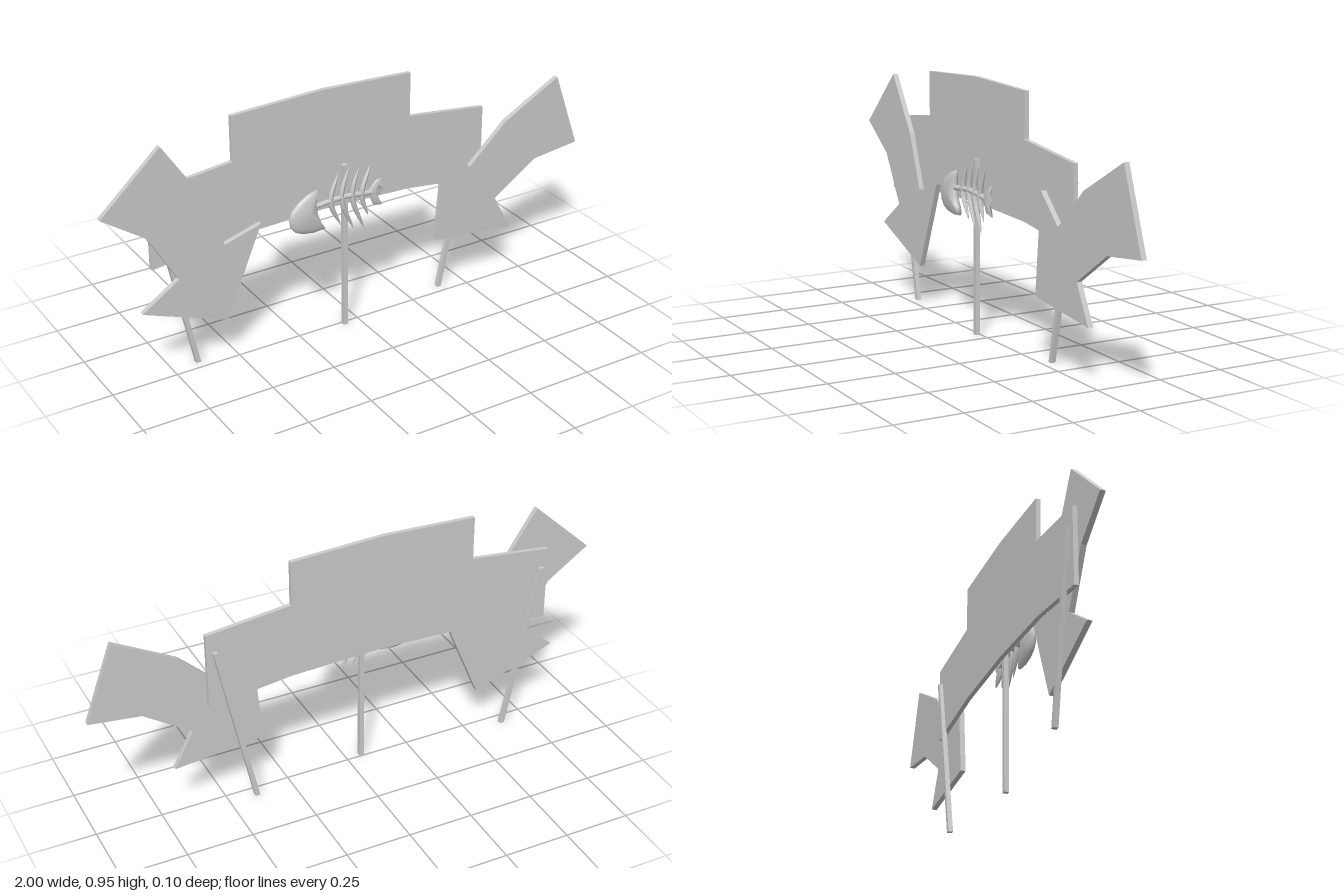
import * as THREE from 'three';

const material = new THREE.MeshStandardMaterial({ color: 0xcccccc, side: THREE.DoubleSide });

function add(group, name, geometry) {
  const mesh = new THREE.Mesh(geometry, material);
  mesh.name = name;
  group.add(mesh);
  return mesh;
}

const toShape = (pts) => new THREE.Shape(pts.map(([x, y]) => new THREE.Vector2(x, y)));

// Flat cut-out plank between two depths
function plank(group, name, pts, zBack, zFront) {
  const g = new THREE.ExtrudeGeometry(toShape(pts), { depth: zFront - zBack, bevelEnabled: false });
  g.translate(0, 0, zBack);
  return add(group, name, g);
}

// Square post from a foot on the ground to a top point
function post(group, name, xFoot, xTop, height, z) {
  const w = 0.009;
  const pts = [[xFoot - w, 0], [xFoot + w, 0], [xTop + w, height], [xTop - w, height]];
  return plank(group, name, pts, z - 0.009, z + 0.009);
}

// Pillow-shaped solid: the outline shrinks towards its centre as it rises front and back
function lens(pts, cx, cy, halfDepth) {
  const steps = 10, n = pts.length, pos = [], idx = [];
  for (let i = 0; i <= steps; i++) {
    const a = -Math.PI / 2 + (Math.PI * i) / steps;
    const s = Math.max(Math.cos(a), 0.001);
    for (const [x, y] of pts) pos.push(cx + (x - cx) * s, cy + (y - cy) * s, Math.sin(a) * halfDepth);
  }
  for (let i = 0; i < steps; i++) {
    for (let j = 0; j < n; j++) {
      const a = i * n + j, b = i * n + (j + 1) % n;
      idx.push(a, b, b + n, a, b + n, a + n);
    }
  }
  const g = new THREE.BufferGeometry();
  g.setAttribute('position', new THREE.Float32BufferAttribute(pos, 3));
  g.setIndex(idx);
  g.computeVertexNormals();
  return g;
}

// Curved bone, thick in the middle and pointed at both ends
function rib(top, mid, bottom) {
  const curve = new THREE.CatmullRomCurve3([top, mid, bottom].map(([x, y]) => new THREE.Vector3(x, y, 0)));
  const seg = 18, sides = 8;
  const g = new THREE.TubeGeometry(curve, seg, 0.0105, sides);
  const p = g.attributes.position, v = new THREE.Vector3();
  for (let i = 0; i <= seg; i++) {
    const c = curve.getPointAt(i / seg);
    const k = Math.max(Math.sin((Math.PI * i) / seg) ** 0.7, 0.02);
    for (let j = 0; j <= sides; j++) {
      const id = i * (sides + 1) + j;
      v.fromBufferAttribute(p, id).sub(c).multiplyScalar(k).add(c);
      p.setXYZ(id, v.x, v.y, v.z);
    }
  }
  g.computeVertexNormals();
  return g;
}

export function createModel() {
  const model = new THREE.Group();
  model.name = 'signpost';

  // Arched sign board with a raised middle, mirrored about its own centre line
  const cx = -0.128;
  const half = [[0.363, 0.938], [0.363, 0.767], [0.687, 0.73], [0.687, 0.435], [0.36, 0.475]];
  const board = [
    [cx, 0.953],
    ...half.map(([x, y]) => [cx + x, y]),
    [cx, 0.487],
    ...half.slice().reverse().map(([x, y]) => [cx - x, y]),
  ];
  plank(model, 'signBoard', board, -0.035, -0.018);

  // Bent arrows in front of the board
  plank(model, 'rightArrow', [
    [-0.767, 0.901], [-0.623, 0.682], [-0.543, 0.468], [-0.398, 0.511], [-0.543, 0.163],
    [-0.869, 0.286], [-0.725, 0.382], [-0.837, 0.575], [-1, 0.687],
  ], -0.017, 0.003);
  plank(model, 'leftArrow', [
    [0.89, 0.783], [0.997, 0.487], [0.8, 0.463], [0.618, 0.34], [0.693, 0.198],
    [0.348, 0.233], [0.382, 0.612], [0.495, 0.505], [0.655, 0.655],
  ], -0.017, 0.003);

  // Posts: slanted pair behind the board, upright one in front
  post(model, 'rightPost', -0.648, -0.785, 0.66, -0.041);
  post(model, 'leftPost', 0.392, 0.53, 0.66, -0.041);
  post(model, 'middlePost', -0.061, -0.061, 0.66, 0.011);

  // Fish skeleton
  const fish = new THREE.Group();
  fish.name = 'fishSkeleton';
  fish.position.z = 0.03;
  model.add(fish);

  add(fish, 'fishHead', lens([
    [-0.185, 0.602], [-0.225, 0.59], [-0.262, 0.567], [-0.29, 0.54], [-0.303, 0.512], [-0.295, 0.475],
    [-0.275, 0.452], [-0.245, 0.438], [-0.2, 0.432], [-0.152, 0.436], [-0.17, 0.465], [-0.183, 0.5],
    [-0.19, 0.545], [-0.187, 0.575],
  ], -0.225, 0.515, 0.02));

  const spine = new THREE.CatmullRomCurve3([
    new THREE.Vector3(-0.2, 0.535, 0), new THREE.Vector3(-0.08, 0.543, 0), new THREE.Vector3(0.05, 0.53, 0),
  ]);
  add(fish, 'fishSpine', new THREE.TubeGeometry(spine, 16, 0.01, 8));

  // Each rib: top tip, spine crossing, bottom tip
  const ribs = [
    [[-0.097, 0.645], [-0.13, 0.54], [-0.088, 0.432]],
    [[-0.053, 0.657], [-0.085, 0.542], [-0.034, 0.402]],
    [[-0.01, 0.65], [-0.04, 0.54], [0.01, 0.393]],
    [[0.038, 0.645], [0.0, 0.535], [0.028, 0.44]],
  ];
  for (const [top, mid, bottom] of ribs) add(fish, 'fishRib', rib(top, mid, bottom));

  add(fish, 'fishTail', lens([
    [0.03, 0.542], [0.06, 0.575], [0.09, 0.585], [0.07, 0.552], [0.09, 0.535], [0.068, 0.508],
    [0.09, 0.468], [0.05, 0.478], [0.03, 0.52],
  ], 0.05, 0.53, 0.009));

  return model;
}
